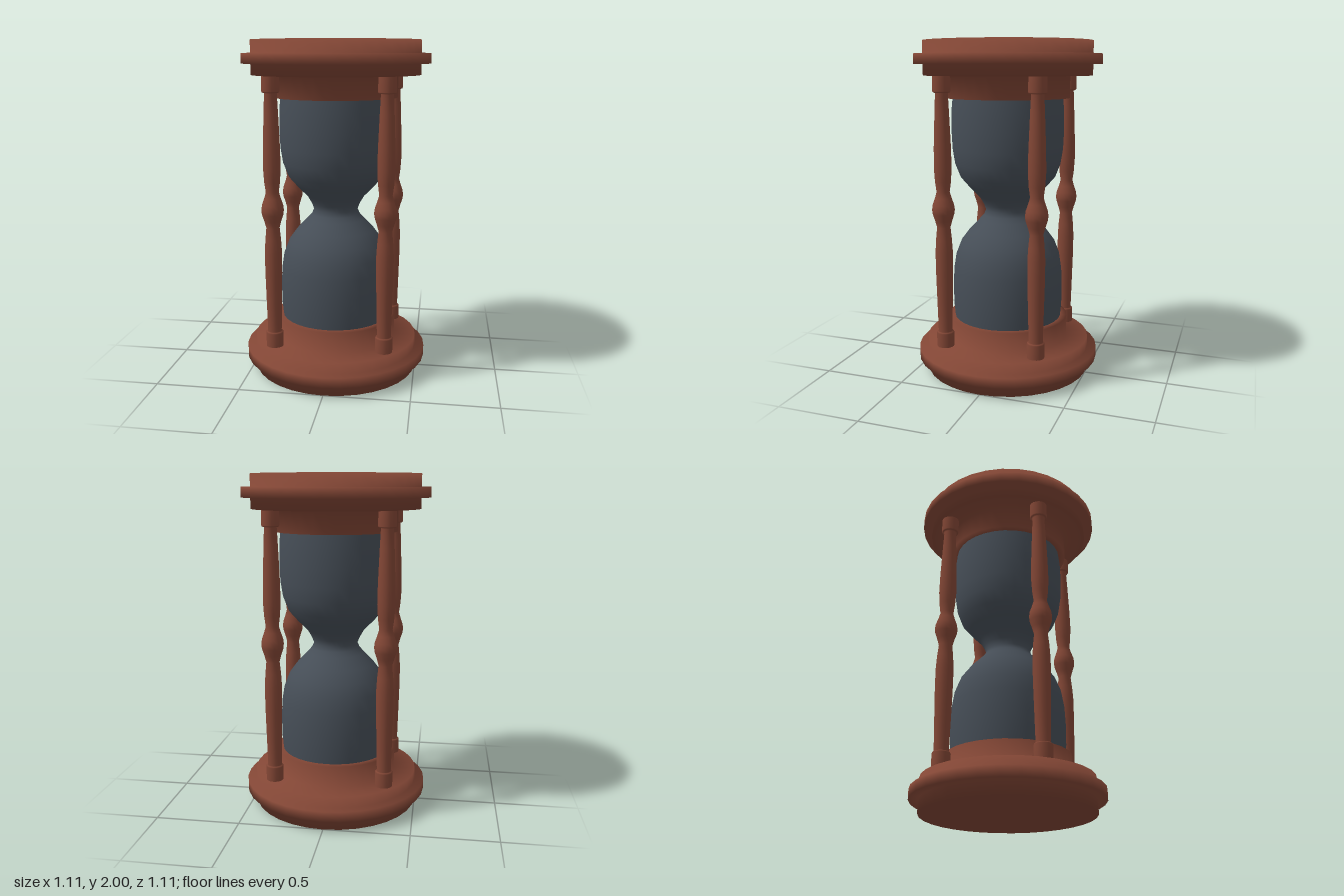
import * as THREE from 'three';

const wood = new THREE.MeshStandardMaterial({ color: 0x824635 });
const glass = new THREE.MeshStandardMaterial({ color: 0x464e57 });

const toPoints = (list) => list.map(([r, y]) => new THREE.Vector2(r, y));

function lathe(name, profile, segments, material) {
  const mesh = new THREE.Mesh(new THREE.LatheGeometry(toPoints(profile), segments), material);
  mesh.name = name;
  return mesh;
}

export function createModel() {
  const model = new THREE.Group();
  model.name = 'hourglass';

  // Stepped end plate with the collar that holds the bulb
  const plate = [
    [0, 0], [0.5, 0], [0.5, 0.075], [0.555, 0.075], [0.555, 0.135], [0.5, 0.135],
    [0.5, 0.2], [0.368, 0.2], [0.368, 0.33], [0.32, 0.33],
  ];
  const topPlate = plate.map(([r, y]) => [r, 2 - y]).reverse();
  model.add(lathe('basePlate', plate, 32, wood));
  model.add(lathe('topPlate', topPlate, 32, wood));

  // Two bulbs joined at a narrow neck
  const bulb = [
    [0.325, 0.3], [0.335, 0.4], [0.337, 0.52], [0.332, 0.63], [0.318, 0.72], [0.287, 0.8],
    [0.235, 0.87], [0.172, 0.935], [0.146, 0.965], [0.133, 0.995], [0.146, 1.03],
    [0.172, 1.075], [0.235, 1.14], [0.287, 1.2], [0.318, 1.28], [0.332, 1.37],
    [0.337, 1.48], [0.335, 1.6], [0.325, 1.7],
  ];
  model.add(lathe('glassBulbs', bulb, 32, glass));

  // Turned posts: square-shouldered ends and a round bead in the middle
  const post = [
    [0.051, 0.19], [0.052, 0.285], [0.047, 0.292], [0.041, 0.295], [0.045, 0.45],
    [0.05, 0.65], [0.051, 0.78], [0.046, 0.86], [0.039, 0.93], [0.05, 0.97], [0.063, 1.01],
    [0.066, 1.035], [0.062, 1.065], [0.048, 1.105], [0.038, 1.14], [0.046, 1.2],
    [0.051, 1.28], [0.049, 1.4], [0.041, 1.6], [0.036, 1.705], [0.047, 1.708],
    [0.052, 1.715], [0.051, 1.81],
  ];
  for (const x of [-0.328, 0.328]) {
    for (const z of [-0.283, 0.283]) {
      const mesh = lathe((z > 0 ? 'front' : 'back') + (x > 0 ? 'Left' : 'Right') + 'Post', post, 16, wood);
      mesh.position.set(x, 0, z);
      model.add(mesh);
    }
  }
  return model;
}
